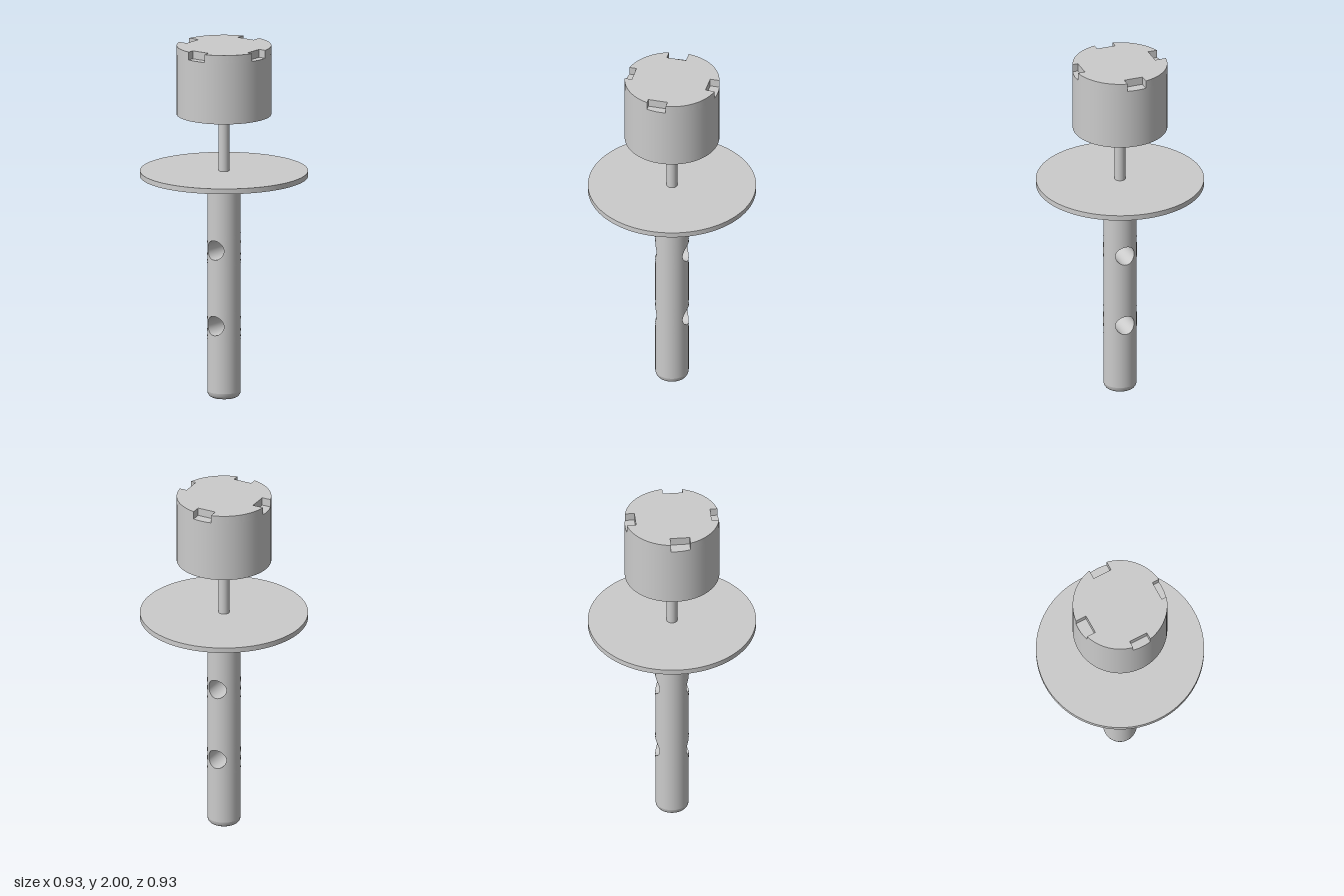
import * as THREE from 'three';
import { toCreasedNormals, mergeGeometries } from 'three/addons/utils/BufferGeometryUtils.js';
import { ParametricGeometry } from 'three/addons/geometries/ParametricGeometry.js';

const material = new THREE.MeshStandardMaterial({ color: 0xcccccc, side: THREE.DoubleSide });
const SHAFT_R = 0.093, SHAFT_TOP = 1.257;
const HOLE_R = 0.055, HOLE_YS = [0.418, 0.848], PANEL = 0.09;
const HEAD_R = 0.263, HEAD_BOTTOM = 1.608, NOTCH_Y = 1.955;

function part(name, geometry) {
  const mesh = new THREE.Mesh(geometry, material);
  mesh.name = name;
  return mesh;
}

// Capped or open cylinder between two heights
function column(r, y0, y1, open = false, segments = 48) {
  return new THREE.CylinderGeometry(r, r, y1 - y0, segments, 1, open).translate(0, (y0 + y1) / 2, 0);
}

// Half of the shaft wall around a cross hole: hole edge blended out to a rectangle
function holePanel(y) {
  const side = (s) => THREE.MathUtils.clamp((4 / Math.PI) * Math.asin(s), -1, 1);
  return new ParametricGeometry((u, v, p) => {
    const t = u * Math.PI * 2, c = Math.cos(t), s = Math.sin(t);
    const a = THREE.MathUtils.lerp(Math.asin((HOLE_R * c) / SHAFT_R), side(c) * Math.PI / 2, v);
    const h = THREE.MathUtils.lerp(HOLE_R * s, side(s) * PANEL, v);
    p.set(SHAFT_R * Math.cos(a), y + h, SHAFT_R * Math.sin(a));
  }, 96, 8);
}

// Inner wall of a cross hole, running along x
function holeBore(y) {
  return new ParametricGeometry((u, v, p) => {
    const t = u * Math.PI * 2, z = HOLE_R * Math.cos(t);
    p.set((2 * v - 1) * Math.sqrt(SHAFT_R ** 2 - z * z), y + HOLE_R * Math.sin(t), z);
  }, 96, 1);
}

// Top layer of the head: a disc with four rim notches
function notchedDisc() {
  // inner corners of each notch, and whether it opens along x
  const notches = [
    { p: [0.205, -0.055], q: [0.205, 0.053], alongX: true },
    { p: [0.03, 0.22], q: [-0.08, 0.22], alongX: false },
    { p: [-0.217, 0.053], q: [-0.217, -0.055], alongX: true },
    { p: [-0.08, -0.198], q: [0.03, -0.198], alongX: false },
  ];
  const rimAngle = ([x, z], alongX) => alongX
    ? Math.atan2(z, Math.sign(x) * Math.sqrt(HEAD_R ** 2 - z * z))
    : Math.atan2(Math.sign(z) * Math.sqrt(HEAD_R ** 2 - x * x), x);
  const shape = new THREE.Shape();
  notches.forEach(({ p, q, alongX }, i) => {
    const next = notches[(i + 1) % notches.length];
    if (i === 0) shape.moveTo(...p);
    else shape.lineTo(...p);
    shape.lineTo(...q);
    shape.absarc(0, 0, HEAD_R, rimAngle(q, alongX), rimAngle(next.p, next.alongX), false);
  });
  const geometry = new THREE.ExtrudeGeometry(shape, { depth: 2 - NOTCH_Y, bevelEnabled: false, curveSegments: 16 });
  return toCreasedNormals(geometry.rotateX(Math.PI / 2).translate(0, 2, 0), 0.6);
}

export function createModel() {
  const model = new THREE.Group();
  model.name = 'knobPin';

  // Shaft: rounded tip, plain wall sections and pierced sections
  const shaft = new THREE.Group();
  shaft.name = 'shaft';
  const tip = [[0, 0], [0.068, 0], [0.082, 0.008], [0.09, 0.02], [SHAFT_R, 0.035]];
  shaft.add(part('shaftTip', toCreasedNormals(
    new THREE.LatheGeometry(tip.map(([x, y]) => new THREE.Vector2(x, y)), 48), 0.5)));
  const stops = [0.035, ...HOLE_YS.flatMap((y) => [y - PANEL, y + PANEL]), SHAFT_TOP];
  for (let i = 0; i < stops.length; i += 2) {
    shaft.add(part('shaftWall', column(SHAFT_R, stops[i], stops[i + 1], true)));
  }
  for (const y of HOLE_YS) {
    const panels = [holePanel(y), holePanel(y).rotateY(Math.PI)];
    shaft.add(part('piercedWall', mergeGeometries(panels)));
    shaft.add(part('crossHole', holeBore(y)));
  }
  model.add(shaft);

  // Flange and thin stem
  model.add(part('flange', column(0.467, SHAFT_TOP, 1.287, false, 96)));
  model.add(part('stem', column(0.03, 1.28, HEAD_BOTTOM + 0.01, false, 32)));

  // Head with notched rim
  const head = new THREE.Group();
  head.name = 'head';
  head.add(part('headBody', column(HEAD_R, HEAD_BOTTOM, NOTCH_Y, false, 72)));
  head.add(part('notchedTop', notchedDisc()));
  model.add(head);

  return model;
}
